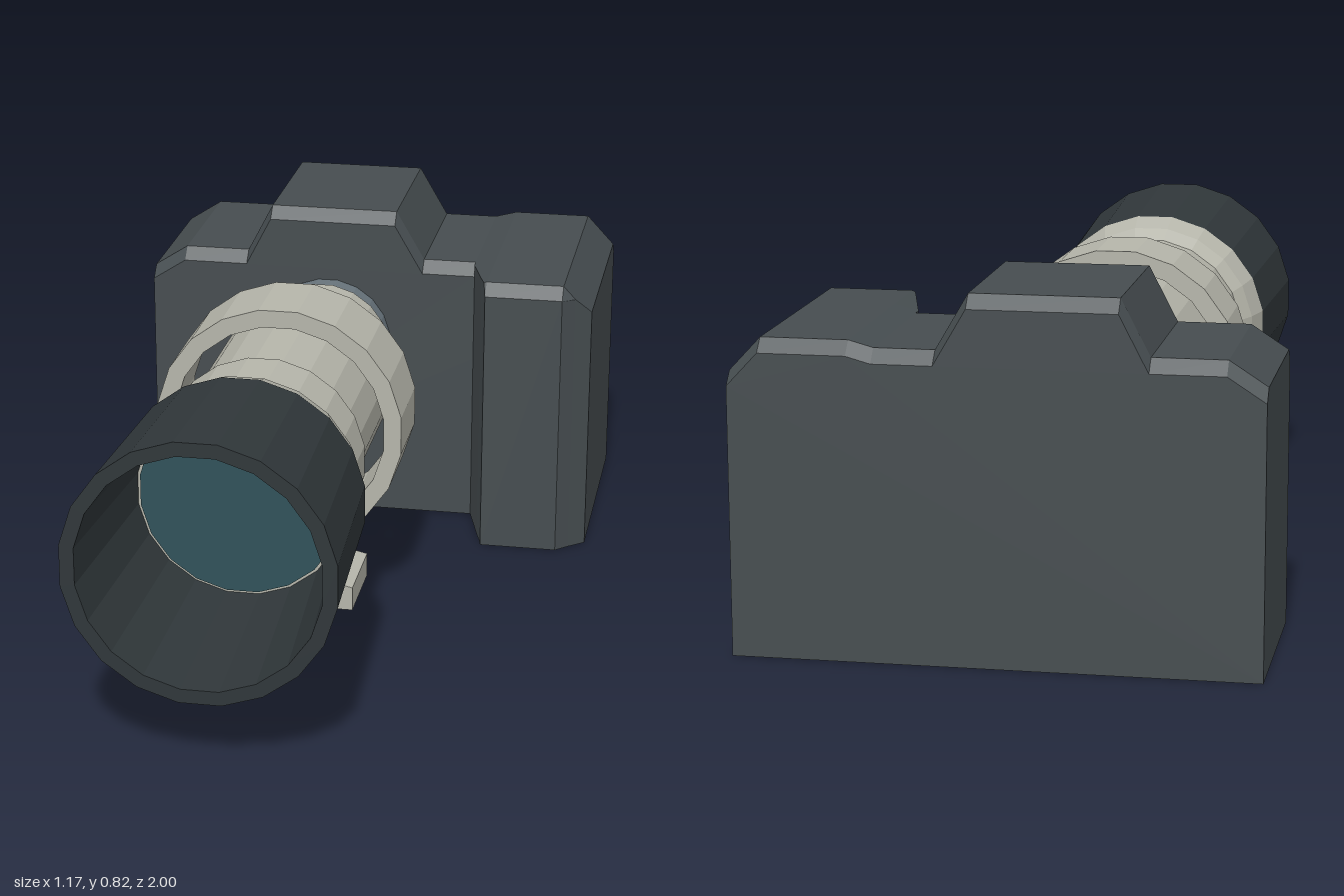
import * as THREE from 'three';

const AXIS_X = -0.118, AXIS_Y = 0.47, SIDES = 20;

const paint = (color) => new THREE.MeshStandardMaterial({ color, flatShading: true });

// Solid through matching cross-sections, ordered back to front: { z, pts } with pts counter-clockwise
function loft(sections) {
  const pos = [];
  const put = (s, i) => pos.push(s.pts[i][0], s.pts[i][1], s.z);
  const n = sections[0].pts.length;
  for (let k = 0; k < sections.length - 1; k++) {
    const a = sections[k], b = sections[k + 1];
    for (let i = 0; i < n; i++) {
      const j = (i + 1) % n;
      put(a, i); put(a, j); put(b, j);
      put(a, i); put(b, j); put(b, i);
    }
  }
  const cap = (s, flip) => {
    const contour = s.pts.map(([x, y]) => new THREE.Vector2(x, y));
    for (const [p, q, r] of THREE.ShapeUtils.triangulateShape(contour, [])) {
      for (const i of flip ? [r, q, p] : [p, q, r]) put(s, i);
    }
  };
  cap(sections[0], true);
  cap(sections[sections.length - 1], false);
  const geo = new THREE.BufferGeometry();
  geo.setAttribute('position', new THREE.Float32BufferAttribute(pos, 3));
  geo.computeVertexNormals();
  return geo;
}

// Turned part around the lens axis; profile is [radius across flats, z]
function turned(profile) {
  const k = 1 / Math.cos(Math.PI / SIDES);
  const pts = profile.map(([r, z]) => new THREE.Vector2(r * k, z));
  const geo = new THREE.LatheGeometry(pts, SIDES, Math.PI / SIDES);
  geo.rotateX(Math.PI / 2);
  geo.translate(AXIS_X, AXIS_Y, 0);
  return geo;
}

export function createModel() {
  const model = new THREE.Group();
  model.name = 'camera';
  const bodyMat = paint(0x464d50), hoodMat = paint(0x30373a), shellMat = paint(0xb6b6ab);
  const mountMat = paint(0x68747c), glassMat = paint(0x30525a);
  const add = (name, geo, mat) => {
    const mesh = new THREE.Mesh(geo, mat);
    mesh.name = name;
    model.add(mesh);
  };

  // Body with viewfinder hump; top edges bevelled at the front and back
  const outline = [
    [-0.585, 0], [0.585, 0], [0.585, 0.635], [0.515, 0.71], [0.32, 0.71], [0.265, 0.695],
    [0.13, 0.695], [0.057, 0.82], [-0.27, 0.82], [-0.335, 0.695], [-0.5, 0.695], [-0.585, 0.64],
  ];
  const lowered = outline.map(([x, y]) => [x, y > 0 ? y - 0.03 : 0]);
  add('body', loft([
    { z: -1, pts: lowered }, { z: -0.97, pts: outline },
    { z: -0.565, pts: outline }, { z: -0.535, pts: lowered },
  ]), bodyMat);

  // Hand grip, chamfered on the outer and top front edges
  const gripSection = (z, xl, xr, yr, top) => ({
    z, pts: [[xl, 0], [xr, 0], [xr, yr], [0.515, top], [0.32, top], [xl, Math.min(top, 0.695 + (xl - 0.265) * 0.27)]],
  });
  add('grip', loft([
    gripSection(-0.58, 0.265, 0.585, 0.635, 0.71),
    gripSection(-0.54, 0.265, 0.585, 0.635, 0.71),
    gripSection(-0.4, 0.303, 0.585, 0.635, 0.71),
    gripSection(-0.367, 0.313, 0.546, 0.677, 0.71),
    gripSection(-0.337, 0.3199, 0.5151, 0.679, 0.68),
  ]), bodyMat);

  // Lens mount, barrel, hood and glass
  add('lensMount', turned([[0.164, -0.55], [0.164, -0.45]]), mountMat);
  add('lensBarrel', turned([
    [0, -0.455], [0.177, -0.455], [0.177, -0.345], [0.216, -0.285], [0.216, 0.25],
    [0.24, 0.285], [0.24, 0.445], [0.265, 0.48], [0.286, 0.545], [0, 0.545],
  ]), shellMat);
  add('lensHood', turned([
    [0.244, 0.545], [0.286, 0.545], [0.307, 1], [0.274, 1], [0.244, 0.545],
  ]), hoodMat);
  add('frontGlass', turned([[0.237, 0.545], [0.237, 0.552], [0, 0.552]]), glassMat);

  // Tripod collar, loose around the barrel, with its foot
  const z0 = -0.095, z1 = 0.118;
  add('tripodCollar', turned([
    [0.257, z0], [0.3, z0], [0.3, z1], [0.257, z1], [0.257, z0],
  ]), shellMat);
  const half = [[0.182, 0], [0.182, 0.06], [0.037, 0.092], [0.037, 0.19]];
  const foot = [
    ...half.map(([x, y]) => [AXIS_X + x, y]),
    ...half.map(([x, y]) => [AXIS_X - x, y]).reverse(),
  ];
  add('tripodFoot', loft([{ z: z0, pts: foot }, { z: z1, pts: foot }]), shellMat);

  return model;
}
